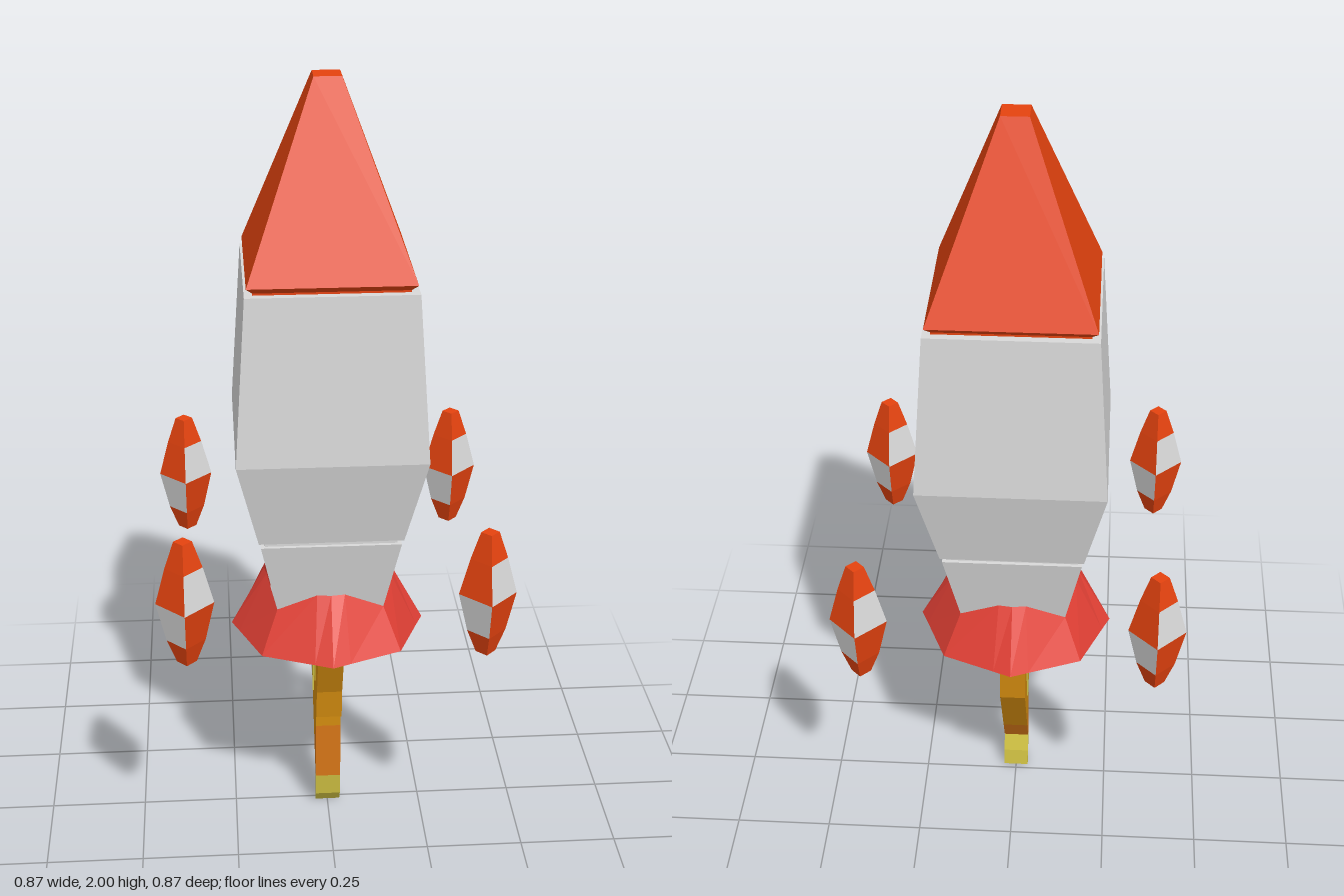
import * as THREE from 'three';

const mat = (name, color, side = THREE.FrontSide) => {
  const m = new THREE.MeshStandardMaterial({ color, side });
  m.name = name;
  return m;
};

const flat = (geometry) => {
  const g = geometry.index ? geometry.toNonIndexed() : geometry;
  g.computeVertexNormals();
  return g;
};

// Four-sided turned form; profile lists [radius, y] from bottom to top
const turned = (profile, phiStart, sides = 4) => flat(new THREE.LatheGeometry(
  profile.map(([r, y]) => new THREE.Vector2(r, y)), sides, phiStart, sides * Math.PI / 2));

// Square hull section; profile lists [halfWidth, y]
const squareHull = (profile) =>
  turned(profile.map(([h, y]) => [h * Math.SQRT2, y]), Math.PI / 4);

// Outline in (z, y), extruded from x0 to x1
const slab = (outline, x0, x1) => {
  const shape = new THREE.Shape(outline.map(([z, y]) => new THREE.Vector2(z, y)));
  return new THREE.ExtrudeGeometry(shape, { depth: x1 - x0, bevelEnabled: false })
    .rotateY(-Math.PI / 2).translate(x1, 0, 0);
};

// Flared skirt: an octagonal rim below, raised arches above each side
function skirtGeometry() {
  const side = [ // [bottom x, z, top x, y, z]
    [-0.177, 0.177, -0.135, 0.67, 0.135],
    [-0.045, 0.231, -0.035, 0.72, 0.158],
    [0, 0.25, 0, 0.72, 0.163],
    [0.045, 0.231, 0.035, 0.72, 0.158],
  ];
  const low = [], high = [];
  for (let k = 0; k < 4; k++) {
    for (const [bx, bz, tx, ty, tz] of side) {
      const turn = (x, y, z) =>
        new THREE.Vector3(x, y, z).applyAxisAngle(new THREE.Vector3(0, 1, 0), k * Math.PI / 2);
      low.push(turn(bx, 0.56, bz));
      high.push(turn(tx, ty, tz));
    }
  }
  const pts = [];
  low.forEach((a, i) => {
    const j = (i + 1) % low.length;
    pts.push(a, low[j], high[j], a, high[j], high[i]);
  });
  return flat(new THREE.BufferGeometry().setFromPoints(pts));
}

export function createModel() {
  const model = new THREE.Group();
  const grey = mat('hull grey', 0xd8d8d8);
  const red = mat('orange red', 0xe5430f);
  const skirtRed = mat('skirt red', 0xe24035, THREE.DoubleSide);
  const black = mat('nozzle black', 0x0c0c0c);
  const amber = mat('flame amber', 0xd68e10);
  const deep = mat('flame deep orange', 0xd67618);
  const yellow = mat('flame yellow', 0xd4c544);

  const add = (parent, name, geometry, material) => {
    const mesh = new THREE.Mesh(geometry, material);
    mesh.name = name;
    parent.add(mesh);
    return mesh;
  };

  // Hull
  add(model, 'noseCone', squareHull(
    [[0, 1.52], [0.185, 1.52], [0.185, 1.535], [0.2, 1.55], [0.033, 2], [0, 2]]), red);
  add(model, 'mainHull', squareHull(
    [[0, 0.88], [0.18, 0.88], [0.233, 1.11], [0.205, 1.53], [0, 1.53]]), grey);
  add(model, 'waist', squareHull([[0.165, 0.86], [0.165, 0.885]]), grey);
  add(model, 'lowerHull', squareHull(
    [[0.127, 0.63], [0.135, 0.67], [0.175, 0.866], [0, 0.866]]), grey);
  add(model, 'nozzleBase', squareHull([[0, 0.625], [0.127, 0.625], [0.127, 0.63]]), black);
  add(model, 'skirt', skirtGeometry(), skirtRed);

  // Exhaust flame
  const flame = new THREE.Group();
  flame.name = 'flame';
  model.add(flame);
  const w = 0.033;
  add(flame, 'flameBody', slab([
    [0.13, 0.625], [0.175, 0.56], [0.105, 0.4], [0.092, 0.315], [0.055, 0.395],
    [0.05, 0.26], [-0.018, 0.18], [-0.15, 0.4], [-0.168, 0.56], [-0.12, 0.625],
  ], -w, w), amber);
  add(flame, 'flameTail', slab(
    [[0.05, 0.26], [0.05, 0.1], [0.03, 0.1], [-0.018, 0.18]], -w, w), deep);
  add(flame, 'flameTip', slab(
    [[0.05, 0.1], [0.04, 0.035], [0.015, 0], [0.018, 0.05], [0.03, 0.1]], -w, w), yellow);
  const drips = [
    [0.095, 0.62], [0.092, 0.5], [0.07, 0.5], [0.065, 0.46], [0.05, 0.47], [0.045, 0.4],
    [0.03, 0.42], [0.02, 0.48], [0, 0.47], [-0.01, 0.44], [-0.02, 0.37], [-0.033, 0.37],
    [-0.035, 0.32], [-0.05, 0.32], [-0.055, 0.39], [-0.07, 0.39], [-0.075, 0.44],
    [-0.11, 0.45], [-0.12, 0.49], [-0.14, 0.48], [-0.155, 0.5], [-0.155, 0.56], [-0.12, 0.62],
  ];
  add(flame, 'flameCoreLeft', slab(drips, w, w + 0.003), yellow);
  add(flame, 'flameCoreRight', slab(drips, -w - 0.003, -w), yellow);

  // Four checkered pods around the hull
  for (const x of [-0.363, 0.363]) {
    for (const z of [-0.364, 0.362]) {
      const pod = new THREE.Group();
      pod.name = 'pod';
      pod.position.set(x, 0, z);
      model.add(pod);
      add(pod, 'podTop', turned([[0.045, 0.92], [0.022, 0.99], [0, 0.99]], 0), red);
      add(pod, 'podBottom', turned([[0, 0.665], [0.024, 0.665], [0.047, 0.725]], 0), red);
      for (let k = 0; k < 4; k++) {
        const phi = k * Math.PI / 2;
        add(pod, 'podUpperPanel', turned([[0.07, 0.825], [0.045, 0.92]], phi, 1), k % 2 ? red : grey);
        add(pod, 'podLowerPanel', turned([[0.047, 0.725], [0.07, 0.825]], phi, 1), k % 2 ? grey : red);
      }
    }
  }
  return model;
}
